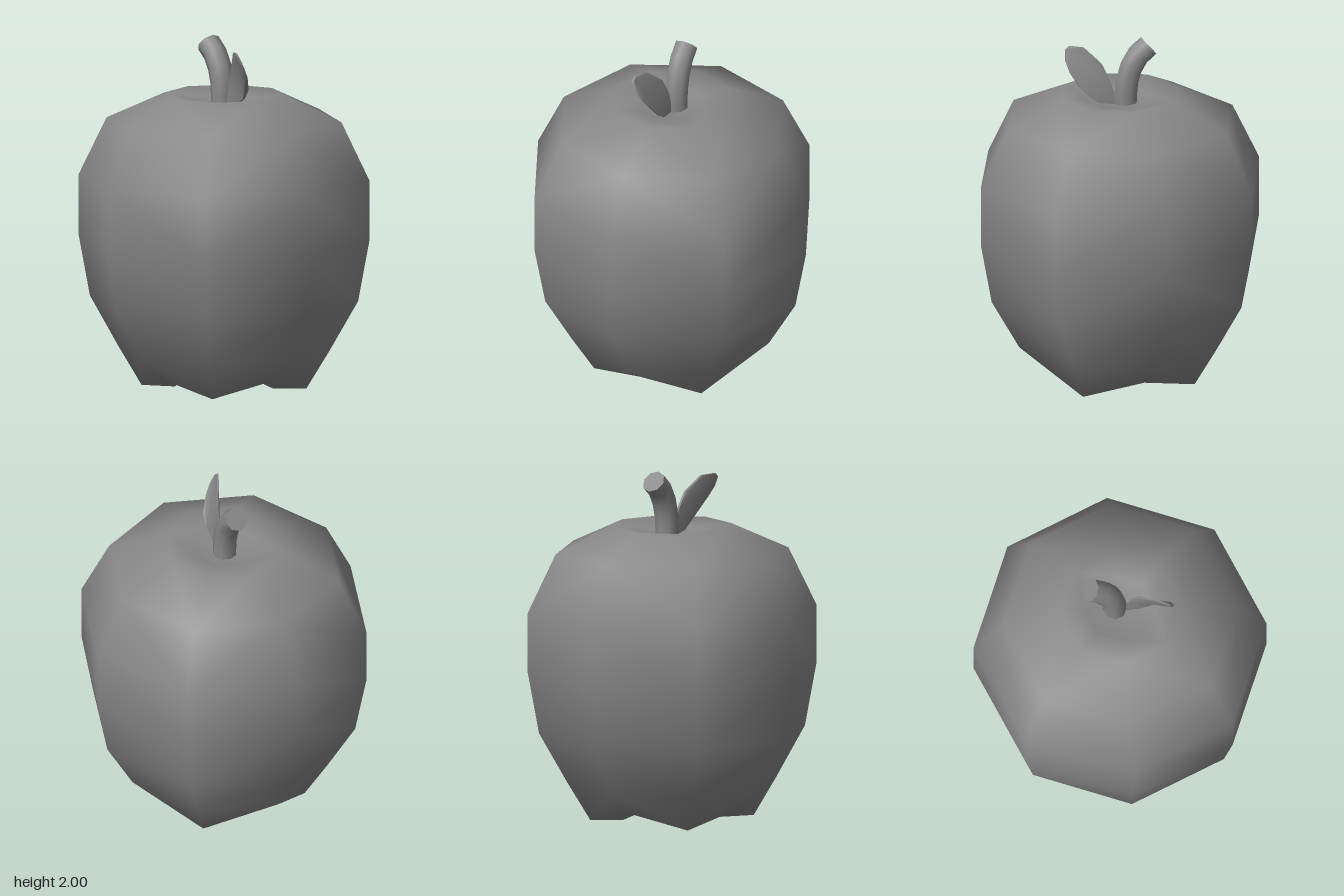
import * as THREE from 'three';
import { mergeVertices, toCreasedNormals } from 'three/addons/utils/BufferGeometryUtils.js';

const darkGrey = (extra = {}) => new THREE.MeshStandardMaterial({ color: 0x888888, ...extra });
const v2 = (list) => list.map(([x, y]) => new THREE.Vector2(x, y));

function addMesh(group, name, geometry, material = darkGrey()) {
  const mesh = new THREE.Mesh(geometry, material);
  mesh.name = name;
  group.add(mesh);
  return mesh;
}

// Eight-sided smooth body; the underside rises between four feet-like lobes
function bodyGeometry() {
  const profile = v2([
    [0, 0.19], [0.28, 0], [0.47, 0.005], [0.6, 0.22], [0.765, 0.51], [0.83, 0.86],
    [0.83, 1.2], [0.67, 1.53], [0.34, 1.68], [0.19, 1.645], [0, 1.61],
  ]);
  let geometry = new THREE.LatheGeometry(profile, 8);
  const pos = geometry.attributes.position;
  for (let i = 0; i < pos.count; i++) {
    const ring = i % profile.length;
    const side = Math.floor(i / profile.length);
    if (side % 2 === 1 || (ring !== 1 && ring !== 2)) continue;
    const s = ring === 2 ? 0.43 / 0.47 : 1;
    pos.setXYZ(i, pos.getX(i) * s, pos.getY(i) + 0.08, pos.getZ(i) * s);
  }
  // flip the quad diagonals on every other side so each lobe is symmetric
  const index = geometry.index.array;
  const perSide = 6 * (profile.length - 1);
  for (let k = 0; k < index.length; k += 6) {
    if (Math.floor(k / perSide) % 2 === 0) continue;
    const [a, b, d, c] = index.slice(k, k + 4);
    index.set([a, b, c, c, d, a], k);
  }
  // weld the seam and poles so shading stays smooth all round
  geometry.deleteAttribute('uv');
  geometry.deleteAttribute('normal');
  geometry = mergeVertices(geometry, 1e-4);
  geometry.computeVertexNormals();
  return geometry;
}

// Thin blade whose tip curls towards the front
function leafGeometry() {
  const outline = v2([
    [0.03, 1.6], [0.12, 1.63], [0.185, 1.675], [0.235, 1.73], [0.28, 1.81], [0.295, 1.87],
    [0.287, 1.93], [0.262, 1.95], [0.19, 1.945], [0.105, 1.86], [0.06, 1.76], [0.04, 1.69],
  ]);
  const geometry = new THREE.ExtrudeGeometry(new THREE.Shape(outline), {
    depth: 0.014, bevelEnabled: false,
  });
  const pos = geometry.attributes.position;
  for (let i = 0; i < pos.count; i++) {
    const curl = 2.05 * (pos.getX(i) - 0.04) * Math.max(0, pos.getY(i) - 1.7);
    pos.setZ(i, pos.getZ(i) - 0.01 + curl);
  }
  return toCreasedNormals(geometry, Math.PI / 4);
}

export function createModel() {
  const model = new THREE.Group();
  model.name = 'apple';
  addMesh(model, 'body', bodyGeometry());

  // Curved stem with a flat cut end
  const stem = new THREE.Group();
  stem.name = 'stem';
  const path = new THREE.CatmullRomCurve3(
    [[-0.03, 1.58], [-0.03, 1.69], [-0.05, 1.8], [-0.1, 1.893], [-0.165, 1.948]]
      .map(([x, y]) => new THREE.Vector3(x, y, -0.014)));
  addMesh(stem, 'stemShaft', new THREE.TubeGeometry(path, 5, 0.068, 8));
  const end = addMesh(stem, 'stemEnd', new THREE.CircleGeometry(0.068, 8));
  end.position.copy(path.getPoint(1));
  end.quaternion.setFromUnitVectors(new THREE.Vector3(0, 0, 1), path.getTangent(1));
  model.add(stem);

  addMesh(model, 'leaf', leafGeometry(), darkGrey({ side: THREE.DoubleSide }));
  return model;
}
